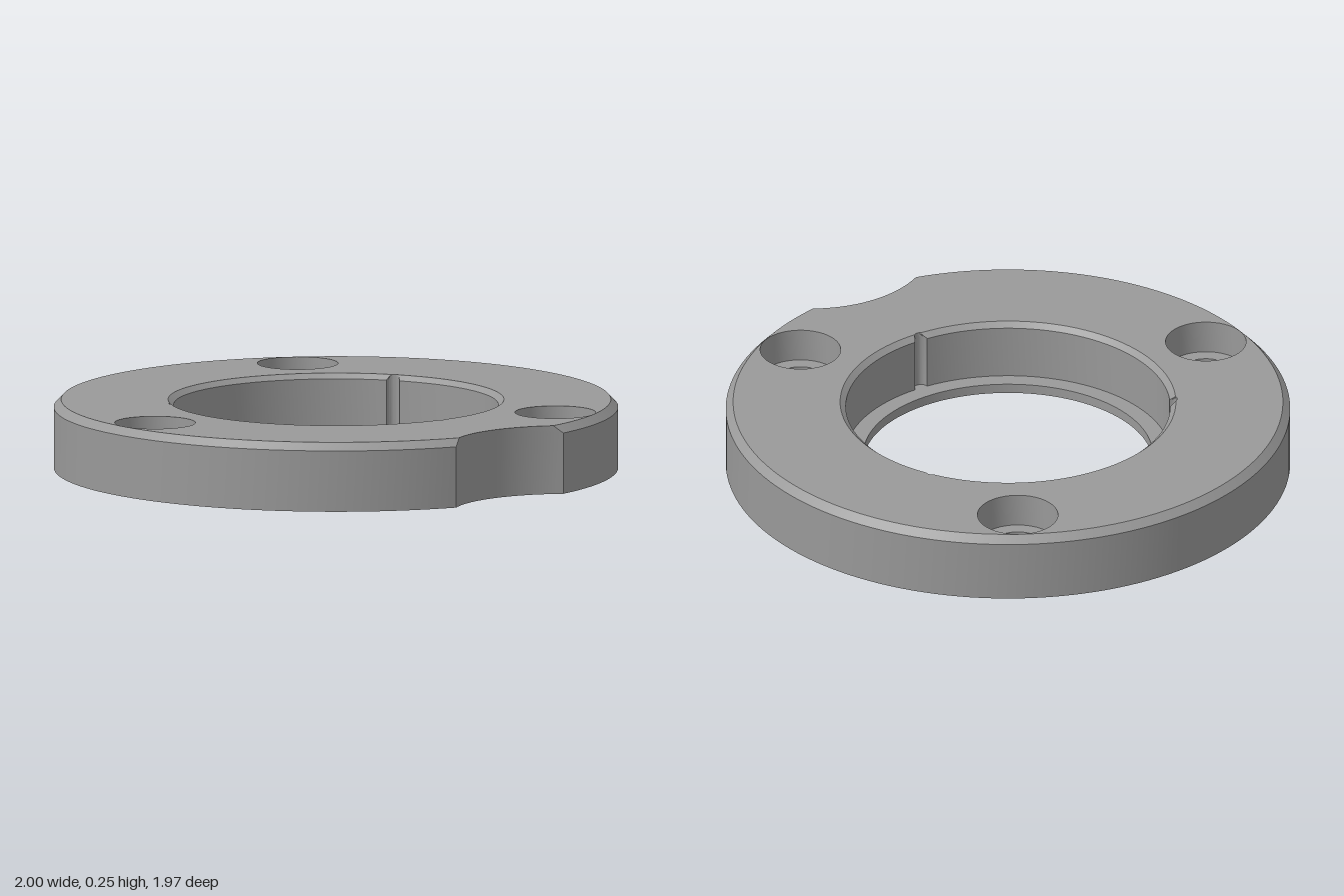
import * as THREE from 'three';
import { mergeGeometries, toCreasedNormals } from 'three/addons/utils/BufferGeometryUtils.js';

const TAU = Math.PI * 2;
const H = 0.245;                                  // overall thickness

// Closed loop in plan (x, z) with circular bites of radius r centred at distance c.
// side -1 bites into the disc, +1 bulges outward.
function loop(R, steps, bites = [], c = 0, r = 0, side = 1, arcSteps = 10) {
  const pts = [];
  if (!bites.length) {
    for (let i = 0; i < steps; i++) {
      const t = (i / steps) * TAU;
      pts.push([R * Math.sin(t), R * Math.cos(t)]);
    }
    return pts;
  }
  const a = Math.acos((R * R + c * c - r * r) / (2 * R * c));
  const b = Math.acos(side * (R * Math.cos(a) - c) / r);
  const span = TAU / bites.length;
  for (const phi of bites) {
    for (let i = 0; i < arcSteps; i++) {
      const t = -b + (2 * b * i) / arcSteps;
      const x = r * Math.sin(t), y = c + side * r * Math.cos(t);
      pts.push([Math.sin(phi) * y + Math.cos(phi) * x, Math.cos(phi) * y - Math.sin(phi) * x]);
    }
    for (let i = 0; i < steps; i++) {
      const t = phi + a + ((span - 2 * a) * i) / steps;
      pts.push([R * Math.sin(t), R * Math.cos(t)]);
    }
  }
  return pts;
}

const shifted = (pts, dx, dz) => pts.map(([x, z]) => [x + dx, z + dz]);

// Wall between two matching loops; inner walls face the hole.
function wall(low, y0, high, y1, inner = false) {
  const v = [];
  low.forEach((p, i) => {
    const j = (i + 1) % low.length;
    const A = [p[0], y0, p[1]], B = [low[j][0], y0, low[j][1]];
    const C = [high[j][0], y1, high[j][1]], D = [high[i][0], y1, high[i][1]];
    v.push(...(inner ? [A, C, B, A, D, C] : [A, B, C, A, C, D]).flat());
  });
  const g = new THREE.BufferGeometry();
  g.setAttribute('position', new THREE.Float32BufferAttribute(v, 3));
  return g;
}

// Flat face with holes; dir 1 faces up, -1 faces down.
function face(outer, holes, y, dir) {
  const flat = (pts) => pts.map(([x, z]) => new THREE.Vector2(x, -dir * z));
  const shape = new THREE.Shape(flat(outer));
  shape.holes = holes.map((h) => new THREE.Path(flat(h)));
  const g = new THREE.ShapeGeometry(shape).toNonIndexed();
  g.deleteAttribute('uv');
  g.deleteAttribute('normal');
  return g.rotateX(-dir * Math.PI / 2).translate(0, y, 0);
}

export function createModel() {
  const group = new THREE.Group();
  group.name = 'flangeRing';
  const body = new THREE.Group();
  body.name = 'ringBody';
  body.position.z = 0.015;
  group.add(body);

  const metal = new THREE.MeshStandardMaterial({ color: 0x999999 });
  metal.name = 'greyMetal';
  const add = (name, parts) => {
    const mesh = new THREE.Mesh(toCreasedNormals(mergeGeometries(parts), 0.5), metal);
    mesh.name = name;
    body.add(mesh);
  };

  // Outer rim with the front notch and a top chamfer
  const rim = (R) => loop(R, 140, [0], 1.31, 0.42, -1, 20);
  const outer = rim(1), outerTop = rim(0.974), rimY = 0.218;
  add('outerRim', [wall(outer, 0, outer, rimY), wall(outer, rimY, outerTop, H)]);

  // Stepped bore: bottom lip, three grooves and a chamfered mouth
  const grooved = (R) => loop(R, 36, [0, TAU / 3, 2 * TAU / 3], 0.575, 0.025, 1, 10);
  const lip = loop(0.5125, 120), seat = grooved(0.575), mouth = grooved(0.595);
  const lipY = 0.035, mouthY = 0.227;
  add('bore', [
    wall(lip, 0, lip, lipY, true),
    face(seat, [lip], lipY, 1),
    wall(seat, lipY, seat, mouthY, true),
    wall(seat, mouthY, mouth, H, true),
  ]);

  // Bolt holes, deeply counterbored above and shallowly below
  const sinks = [], topFloor = 0.125, bottomFloor = 0.02;
  [-TAU / 4, TAU / 12, TAU * 5 / 12].forEach((phi, i) => {
    const x = 0.83 * Math.sin(phi), z = 0.83 * Math.cos(phi);
    const wide = shifted(loop(0.143, 48), x, z);
    const narrow = shifted(loop(0.092, 48), x, z);
    sinks.push(wide);
    add('boltHole' + (i + 1), [
      wall(wide, 0, wide, bottomFloor, true),
      face(wide, [narrow], bottomFloor, -1),
      wall(narrow, bottomFloor, narrow, topFloor, true),
      face(wide, [narrow], topFloor, 1),
      wall(wide, topFloor, wide, H, true),
    ]);
  });

  // Flat faces
  add('topFace', [face(outerTop, [mouth, ...sinks], H, 1)]);
  add('bottomFace', [face(outer, [lip, ...sinks], 0, -1)]);

  return group;
}
